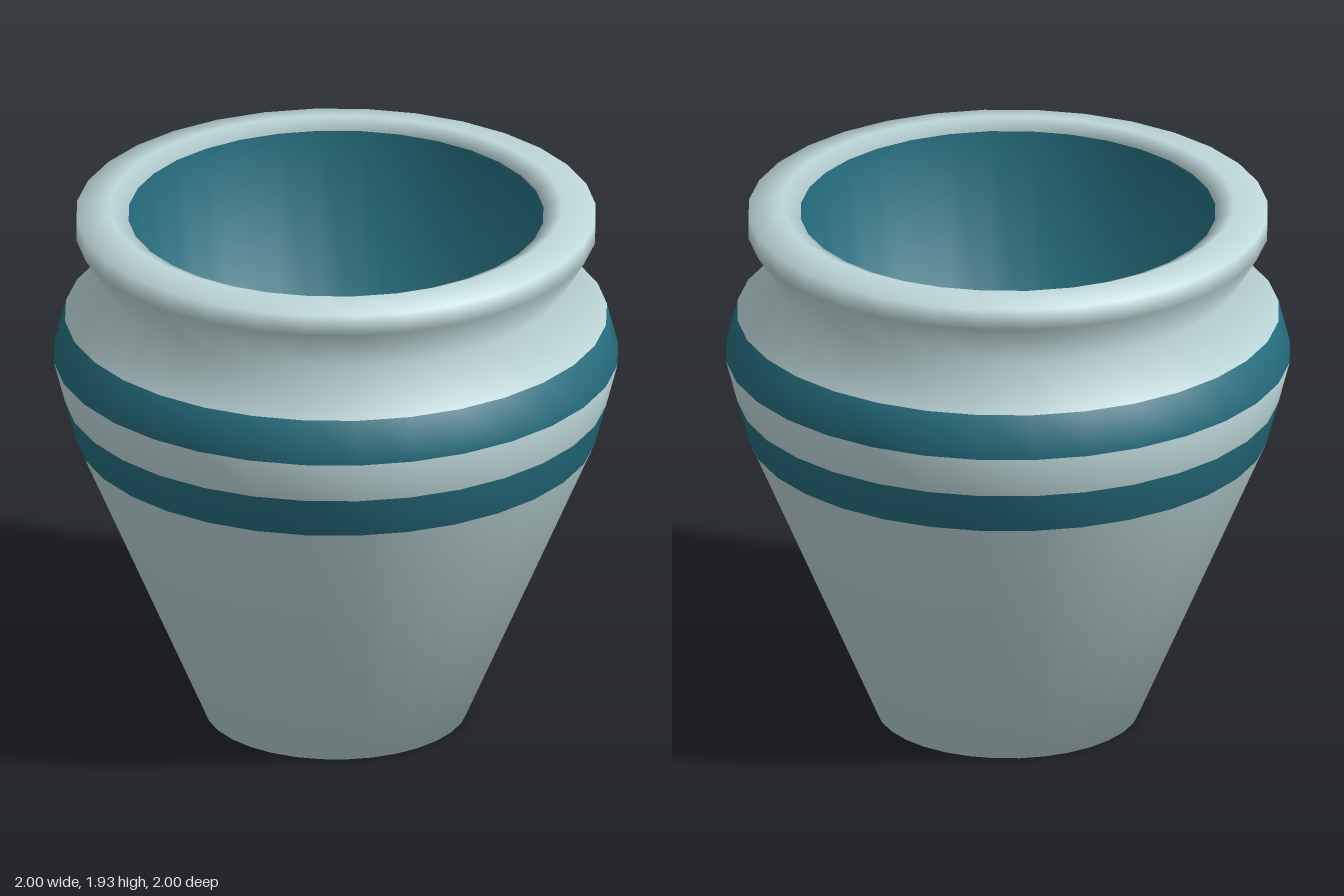
import * as THREE from 'three';

const SEGMENTS = 32;

export function createModel() {
  const glaze = new THREE.MeshStandardMaterial({ color: 0xbfd8da });
  glaze.name = 'paleGlaze';
  const teal = new THREE.MeshStandardMaterial({ color: 0x266f80 });
  teal.name = 'tealGlaze';

  // Profile [radius, height, colour of the band that starts here]: 0 pale, 1 teal
  const profile = [
    [0, 0, 0],          // underside
    [0.465, 0, 0],      // tapering body
    [0.92, 1.06, 1],    // lower stripe
    [0.96, 1.21, 0],    // pale band
    [1.0, 1.365, 1],    // upper stripe
    [0.96, 1.52, 0],    // shoulder
    [0.82, 1.67, 0],    // neck
    [0.92, 1.83, 0],    // rim edge
    [0.92, 1.905, 0],   // rim top
    [0.8, 1.93, 0],     // inner lip
    [0.735, 1.9, 1],    // inner wall
    [0.71, 1.0, 1],     // inner floor
    [0, 1.0, 1],
  ];

  const geometry = new THREE.LatheGeometry(
    profile.map(([r, y]) => new THREE.Vector2(r, y)), SEGMENTS);

  // Regroup the faces band by band so each ring takes its own colour
  const bands = profile.length - 1;
  const source = Array.from(geometry.index.array);
  const sorted = [];
  geometry.clearGroups();
  for (let band = 0; band < bands; band++) {
    geometry.addGroup(sorted.length, SEGMENTS * 6, profile[band][2]);
    for (let s = 0; s < SEGMENTS; s++) {
      const start = (s * bands + band) * 6;
      sorted.push(...source.slice(start, start + 6));
    }
  }
  geometry.setIndex(sorted);

  const pot = new THREE.Mesh(geometry, [glaze, teal]);
  pot.name = 'stripedPot';

  const model = new THREE.Group();
  model.name = 'pot';
  model.add(pot);
  return model;
}
